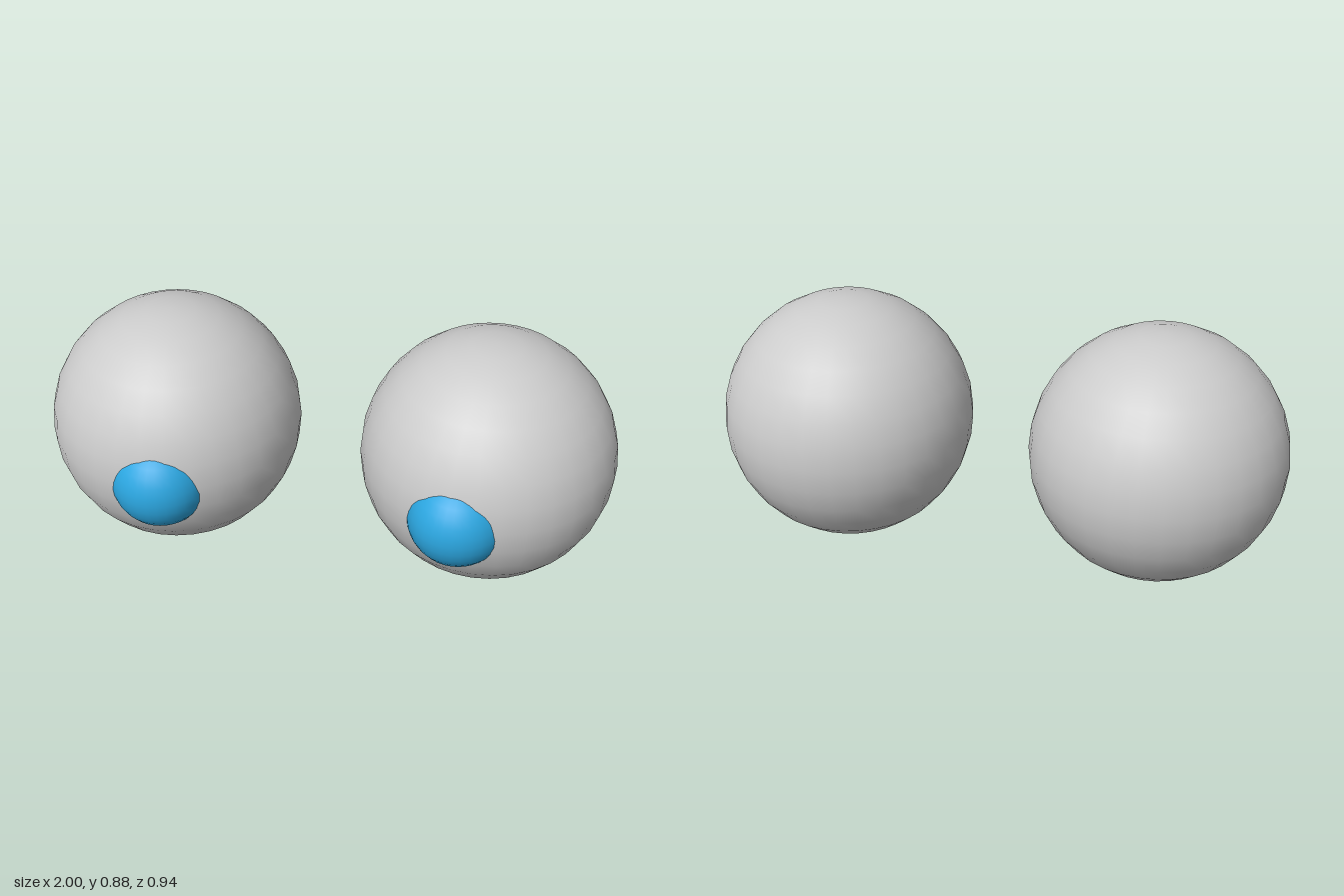
import * as THREE from 'three';

const EYE_RADIUS = 0.4425;
const IRIS_RADIUS = 0.17;

export function createModel() {
  const model = new THREE.Group();
  const white = new THREE.MeshStandardMaterial({ color: 0xcccccc });
  const blue = new THREE.MeshStandardMaterial({ color: 0x2ba6e0 });
  const eyeGeometry = new THREE.SphereGeometry(EYE_RADIUS, 32, 16);
  const irisGeometry = new THREE.SphereGeometry(IRIS_RADIUS, 32, 16);

  // One eye: a ball with a smaller sphere sunk into its front
  function addEye(side, x, irisX) {
    const eye = new THREE.Group();
    eye.name = side + 'Eye';
    eye.position.set(x, EYE_RADIUS, -0.028);

    const ball = new THREE.Mesh(eyeGeometry, white);
    ball.name = side + 'Eyeball';

    const iris = new THREE.Mesh(irisGeometry, blue);
    iris.name = side + 'Iris';
    iris.position.set(irisX, -0.03, 0.328);

    eye.add(ball, iris);
    model.add(eye);
  }

  // Both irises look slightly inward, the left one a little more
  addEye('left', 0.5575, -0.062);
  addEye('right', -0.5575, 0.033);

  return model;
}
